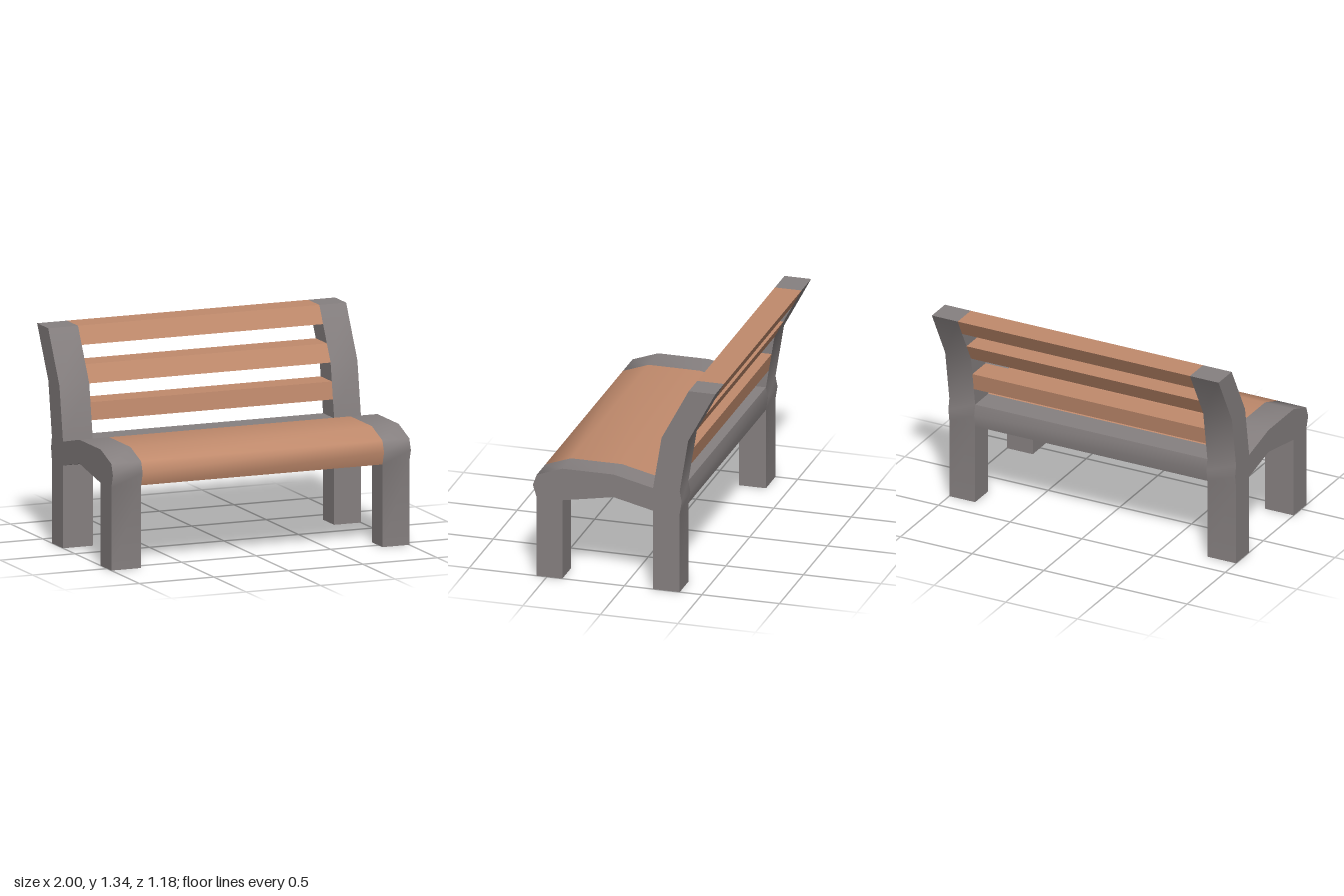
import * as THREE from 'three';
import { toCreasedNormals } from 'three/addons/utils/BufferGeometryUtils.js';

const LEFT = 0.82, RIGHT = -0.8; // inner faces of the two side frames

const metal = new THREE.MeshStandardMaterial({ color: 0x868080 });
const wood = new THREE.MeshStandardMaterial({ color: 0xc08a6c });

// Extrude a (z, y) profile along x from x0 to x1, smooth across gentle bends
function profilePart(name, points, x0, x1, material) {
  const shape = new THREE.Shape(points.map(([z, y]) => new THREE.Vector2(z, y)));
  let geo = new THREE.ExtrudeGeometry(shape, { depth: x1 - x0, bevelEnabled: false });
  geo.rotateY(-Math.PI / 2);
  geo.translate(x1, 0, 0);
  geo = toCreasedNormals(geo, 0.96);
  const mesh = new THREE.Mesh(geo, material);
  mesh.name = name;
  return mesh;
}

// Curved top of the seat, front to back, and its arched underside, back to front
const seatTop = [[0.565, 0.52], [0.59, 0.6], [0.565, 0.67], [0.4, 0.73], [0.07, 0.73], [-0.185, 0.67]];
const seatUnder = [[-0.185, 0.52], [0.07, 0.58], [0.4, 0.52]];

// Back post: front edge z at a height; its depth is constant
const POST_DEPTH = 0.172;
const postFront = (y) => (y < 1.01
  ? THREE.MathUtils.mapLinear(y, 0.67, 1.01, -0.185, -0.24)
  : THREE.MathUtils.mapLinear(y, 1.01, 1.34, -0.24, -0.415));

// Rear bulge where the post meets the rail
const rearBulge = [[-0.357, 0.67], [-0.37, 0.6], [-0.357, 0.52]];

const frameProfile = [
  [0.565, 0], ...seatTop,
  [-0.24, 1.01], [-0.415, 1.34], [-0.587, 1.34], [-0.412, 1.01],
  ...rearBulge,
  [-0.357, 0], [-0.185, 0],
  ...seatUnder, [0.4, 0],
];

export function createModel() {
  const bench = new THREE.Group();
  bench.name = 'bench';

  // Side frames: legs, seat side and back post in one piece
  bench.add(profilePart('leftFrame', frameProfile, LEFT, 1, metal));
  bench.add(profilePart('rightFrame', frameProfile, -1, RIGHT, metal));

  // Seat panel and the rail behind it
  bench.add(profilePart('seat', [...seatTop, ...seatUnder], RIGHT, LEFT, wood));
  bench.add(profilePart('rearRail', [[-0.185, 0.52], [-0.185, 0.67], ...rearBulge], RIGHT, LEFT, metal));

  // Backrest slats follow the bend of the posts
  [[0.785, 0.895], [1.01, 1.12], [1.23, 1.34]].forEach(([y0, y1], i) => {
    const z0 = postFront(y0), z1 = postFront(y1);
    const slat = [[z0, y0], [z1, y1], [z1 - POST_DEPTH, y1], [z0 - POST_DEPTH, y0]];
    bench.add(profilePart(`backSlat${i + 1}`, slat, RIGHT, LEFT, wood));
  });

  return bench;
}
